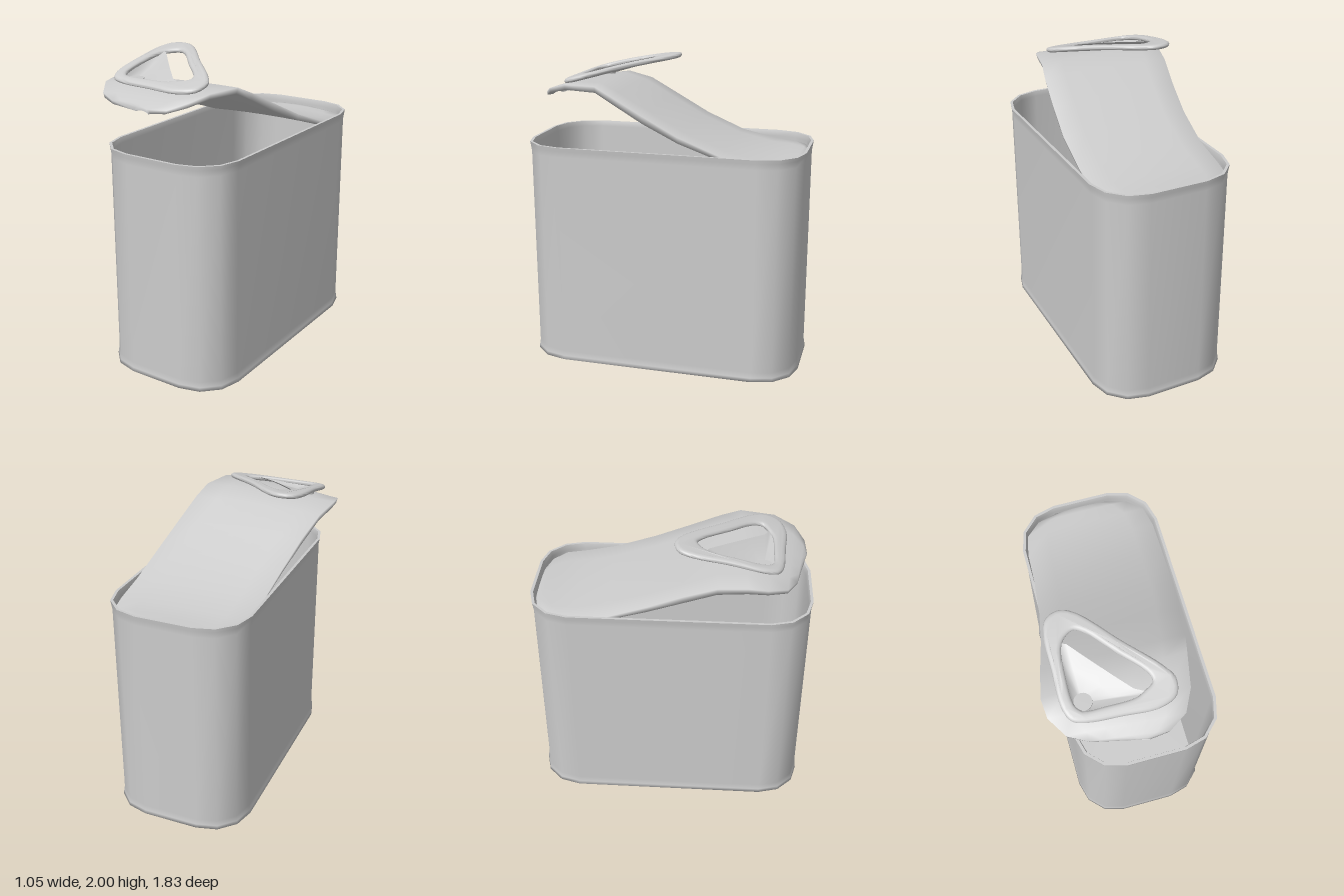
import * as THREE from 'three';
import { toCreasedNormals } from 'three/addons/utils/BufferGeometryUtils.js';

const material = new THREE.MeshStandardMaterial({ color: 0xcccccc, side: THREE.DoubleSide });
const CX = 0.065; // centre of the can in x

function addMesh(parent, name, geometry) {
  const mesh = new THREE.Mesh(geometry, material);
  mesh.name = name;
  parent.add(mesh);
  return mesh;
}

// Smooth skin through closed rings of [x, y, z] points
function loft(rings) {
  const n = rings[0].length;
  const index = [];
  for (let r = 0; r < rings.length - 1; r++) {
    for (let i = 0; i < n; i++) {
      const a = r * n + i, b = r * n + (i + 1) % n, c = a + n, d = b + n;
      index.push(a, c, b, b, c, d);
    }
  }
  const g = new THREE.BufferGeometry();
  g.setAttribute('position', new THREE.Float32BufferAttribute(rings.flat(2), 3));
  g.setIndex(index);
  g.computeVertexNormals();
  return g;
}

// Rounded rectangle with three-sided corners; inset null gives the centre point
function canRing([inset, y]) {
  const pts = [];
  const corners = [[1, 1], [-1, 1], [-1, -1], [1, -1]];
  corners.forEach(([sx, sz], q) => {
    for (let k = 0; k <= 3; k++) {
      const a = (q + k / 3) * Math.PI / 2;
      const r = 0.273 - (inset ?? 0);
      pts.push(inset === null ? [CX, y, 0]
        : [CX + sx * 0.185 + r * Math.cos(a), y, sz * 0.642 + r * Math.sin(a)]);
    }
  });
  return pts;
}

function buildCan() {
  const can = new THREE.Group();
  can.name = 'can';
  const bands = {
    outerShell: [[null, 0], [0.03, 0], [0, 0], [0.004, 0.025], [0.01, 0.06], [0.01, 1.41],
      [0.004, 1.45], [0, 1.475]],
    topRim: [[0, 1.475], [0.018, 1.475]],
    innerWall: [[0.018, 1.475], [0.026, 1.44], [0.026, 0.02]],
    innerFloor: [[0.026, 0.02], [null, 0.02]],
  };
  for (const [name, profile] of Object.entries(bands)) {
    addMesh(can, name, loft(profile.map(canRing)));
  }
  return can;
}

// Closed cross-section of the lid: top edge to edge, then back along the underside
function lidSection([left, right, thickness], drop = 0) {
  const columns = 6;
  const top = [], under = [];
  for (let i = 0; i <= columns; i++) {
    const t = i / columns;
    const [x, y, z] = left.map((v, k) => v + (right[k] - v) * t);
    const crown = 0.012 * (1 - (2 * t - 1) ** 2);
    top.push([x, y + crown - drop, z]);
    under.unshift([x + 0.01 * (1 - 2 * t), y + crown - thickness, z]);
  }
  return [...top, ...under];
}

// Peeled lid: left edge, right edge and thickness at each station, hinge to tip
function buildLid() {
  const stations = [
    [[-0.11, 1.42, -0.885], [0.24, 1.42, -0.885], 0.02],
    [[-0.24, 1.42, -0.85], [0.37, 1.42, -0.85], 0.025],
    [[-0.335, 1.42, -0.765], [0.465, 1.42, -0.765], 0.03],
    [[-0.364, 1.425, -0.63], [0.493, 1.425, -0.63], 0.03],
    [[-0.375, 1.472, -0.4], [0.488, 1.472, -0.42], 0.03],
    [[-0.4, 1.575, -0.14], [0.47, 1.575, -0.14], 0.04],
    [[-0.44, 1.69, 0.09], [0.435, 1.69, 0.1], 0.05],
    [[-0.49, 1.79, 0.3], [0.4, 1.795, 0.31], 0.045],
    [[-0.53, 1.825, 0.48], [0.37, 1.85, 0.43], 0.04],
    [[-0.52, 1.81, 0.6], [0.325, 1.848, 0.65], 0.035],
    [[-0.44, 1.77, 0.72], [0.26, 1.81, 0.78], 0.03],
    [[-0.32, 1.75, 0.78], [0.15, 1.765, 0.845], 0.022],
    [[-0.1, 1.745, 0.828], [0.03, 1.748, 0.855], 0.02],
  ];
  const first = stations[0], last = stations.at(-1);
  return loft([
    lidSection(first, first[2]), ...stations.map((s) => lidSection(s)), lidSection(last, last[2]),
  ]);
}

// Height of the tilted, slightly arched pull tab's top at depth z
function tabTop(z) {
  const t = (0.72 - z) / 0.68;
  return 1.86 + 0.138 * t + 0.015 * Math.sin(Math.PI * t);
}

function closedCurve(points, Type) {
  const curve = new THREE.CatmullRomCurve3(
    points.map(([x, z]) => new THREE.Vector3(x, z, 0)), true, 'centripetal');
  return new Type(curve.getPoints(64).slice(0, -1).map((p) => new THREE.Vector2(p.x, p.y)));
}

function buildTab() {
  const tab = new THREE.Group();
  tab.name = 'pullTab';

  // Rounded triangular frame, bent to its tilt
  const shape = closedCurve([[-0.42, 0.16], [-0.385, 0.07], [-0.3, 0.04], [-0.21, 0.08],
    [0, 0.3], [0.2, 0.5], [0.25, 0.58], [0.23, 0.67], [0.12, 0.715], [-0.1, 0.705],
    [-0.31, 0.69], [-0.39, 0.66], [-0.425, 0.58], [-0.425, 0.37]], THREE.Shape);
  shape.holes.push(closedCurve([[-0.35, 0.26], [-0.315, 0.2], [-0.25, 0.165], [-0.19, 0.195],
    [-0.04, 0.355], [0.11, 0.515], [0.12, 0.57], [0.06, 0.61], [0, 0.635], [-0.17, 0.64],
    [-0.32, 0.63], [-0.36, 0.58], [-0.365, 0.4]], THREE.Path));
  const frame = new THREE.ExtrudeGeometry(shape, {
    depth: 0.005, bevelThickness: 0.015, bevelSize: 0.025, bevelOffset: -0.02, bevelSegments: 3,
  });
  frame.rotateX(Math.PI / 2);
  const pos = frame.attributes.position;
  for (let i = 0; i < pos.count; i++) {
    pos.setY(i, pos.getY(i) - 0.015 + tabTop(pos.getZ(i)));
  }
  addMesh(tab, 'tabFrame', toCreasedNormals(frame, 0.9));

  // Web dipping from the frame and finger slot down to the rivet
  const [rx, rz] = [-0.3, 0.57];
  const border = [[0.08, 0.63], [-0.1, 0.66], [-0.24, 0.66], [-0.33, 0.65], [-0.385, 0.61],
    [-0.385, 0.5], [-0.385, 0.36], [-0.365, 0.22], [-0.31, 0.24], [-0.2, 0.365],
    [-0.1, 0.475], [0, 0.58], [0.06, 0.61]];
  const outer = border.map(([x, z]) => [x, tabTop(z) - 0.01, z]);
  const inner = border.map(([x, z]) => {
    const a = Math.atan2(z - rz, x - rx);
    return [rx + 0.057 * Math.cos(a), 1.845, rz + 0.057 * Math.sin(a)];
  });
  const middle = outer.map((p, i) => p.map((v, k) =>
    THREE.MathUtils.lerp(inner[i][k], v, k === 1 ? 0.35 : 0.5)));
  addMesh(tab, 'tabWeb', loft([inner, middle, outer].map((ring) => ring.reverse())));

  const rivet = addMesh(tab, 'rivet', new THREE.CylinderGeometry(0.055, 0.057, 0.03, 20));
  rivet.position.set(rx, 1.84, rz);
  return tab;
}

export function createModel() {
  const model = new THREE.Group();
  model.name = 'openTin';
  model.add(buildCan());
  addMesh(model, 'peeledLid', buildLid());
  model.add(buildTab());
  return model;
}
